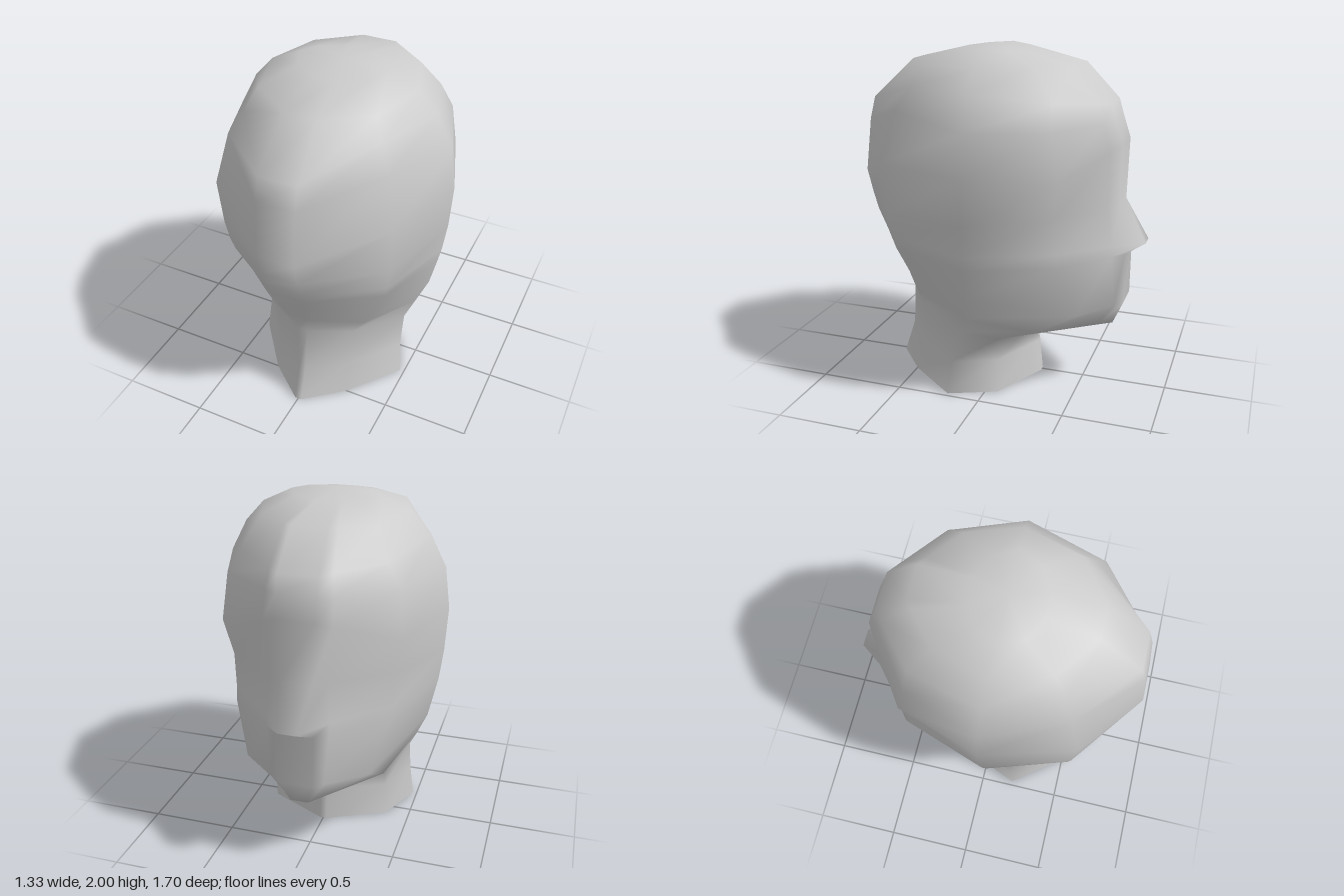
import * as THREE from 'three';

// Rings from neck to crown: half width, side y, side z, front x, y, z, back x, y, z
const RINGS = [
  [0.475, 0.00, 0.20, 0.02, 0.00, -0.24, 0.02, 0.00, 0.68],   // neck base
  [0.455, 0.20, 0.18, 0.02, 0.20, -0.22, 0.02, 0.21, 0.61],
  [0.455, 0.40, 0.13, 0.02, 0.295, -0.20, 0.03, 0.51, 0.59],  // neck under the chin
  [0.505, 0.51, 0.08, 0.05, 0.40, -0.68, 0.06, 0.66, 0.65],   // jaw line
  [0.57, 0.66, 0.05, 0.10, 0.55, -0.745, 0.09, 0.82, 0.72],   // mouth
  [0.61, 0.84, 0.04, 0.11, 0.855, -0.745, 0.10, 0.90, 0.752], // nose base
  [0.627, 0.92, 0.04, 0.11, 0.91, -0.74, 0.11, 0.98, 0.785],  // nose tip
  [0.65, 1.10, 0.03, 0.09, 1.13, -0.705, 0.11, 1.08, 0.815],  // nose bridge
  [0.665, 1.36, 0.03, 0.11, 1.48, -0.71, 0.11, 1.22, 0.85],   // brow
  [0.635, 1.60, 0.03, 0.11, 1.60, -0.67, 0.11, 1.54, 0.81],
  [0.54, 1.78, 0.03, 0.11, 1.70, -0.64, 0.11, 1.67, 0.775],
  [0.43, 1.90, 0.03, 0.10, 1.90, -0.45, 0.09, 1.90, 0.53],
  [0.26, 1.98, 0.04, 0.06, 1.965, -0.16, 0.06, 1.97, 0.24],   // crown
];
const NOSE_TIP = 6;

// Rows whose cheek, or corner behind the ear, leaves the regular oval
const CHEEKS = {
  3: [0.39, 0.43, -0.31], 4: [0.36, 0.55, -0.53], 5: [0.45, 0.85, -0.44],
  6: [0.45, 0.93, -0.43], 7: [0.46, 1.13, -0.42], 8: [0.505, 1.34, -0.45],
};
const BACK_CORNERS = {
  0: [0.24, 0.00, 0.50], 1: [0.23, 0.20, 0.46], 2: [0.25, 0.46, 0.44],
  3: [0.33, 0.57, 0.44], 4: [0.41, 0.72, 0.45], 8: [0.52, 1.37, 0.55],
  9: [0.46, 1.66, 0.48], 10: [0.39, 1.78, 0.42],
};

// One half of a ring, from the middle of the face round to the back
function halfRing([w, sy, sz, fx, fy, fz, bx, by, bz], row) {
  const side = new THREE.Vector3(w, sy, sz);
  const front = new THREE.Vector3(fx, fy, fz);
  const back = new THREE.Vector3(bx, by, bz);
  const cheek = side.clone().lerp(front, 0.62).setX(0.76 * w);
  const backCorner = side.clone().lerp(back, 0.64).setX(0.78 * w);
  if (CHEEKS[row]) cheek.fromArray(CHEEKS[row]);
  if (BACK_CORNERS[row]) backCorner.fromArray(BACK_CORNERS[row]);
  const besideNose = front.clone().lerp(cheek, 0.2);
  if (row === NOSE_TIP) front.set(0.05, 0.91, -0.85);
  return [front, besideNose, cheek, side, backCorner, back];
}

function headGeometry() {
  const points = [], index = [];
  RINGS.forEach((ring, row) => {
    const half = halfRing(ring, row);
    const mirrored = half.map(p => new THREE.Vector3(-p.x, p.y, p.z)).reverse();
    points.push(...half, ...mirrored);
  });
  const n = points.length / RINGS.length;
  const top = points.push(new THREE.Vector3(0, 2, 0.04)) - 1;

  for (let r = 0; r < RINGS.length; r++) {
    for (let i = 0; i < n; i++) {
      const a = r * n + i, b = r * n + (i + 1) % n;
      if (r === RINGS.length - 1) index.push(a, top, b);
      else index.push(a, a + n, b, b, a + n, b + n);
    }
  }
  const geometry = new THREE.BufferGeometry().setFromPoints(points);
  geometry.setIndex(index);
  geometry.computeVertexNormals();
  return geometry;
}

export function createModel() {
  const group = new THREE.Group();
  group.name = 'mannequinHead';
  // The neck is open underneath
  const material = new THREE.MeshStandardMaterial({ color: 0xcccccc, side: THREE.DoubleSide });
  const head = new THREE.Mesh(headGeometry(), material);
  head.name = 'headAndNeck';
  group.add(head);
  return group;
}
